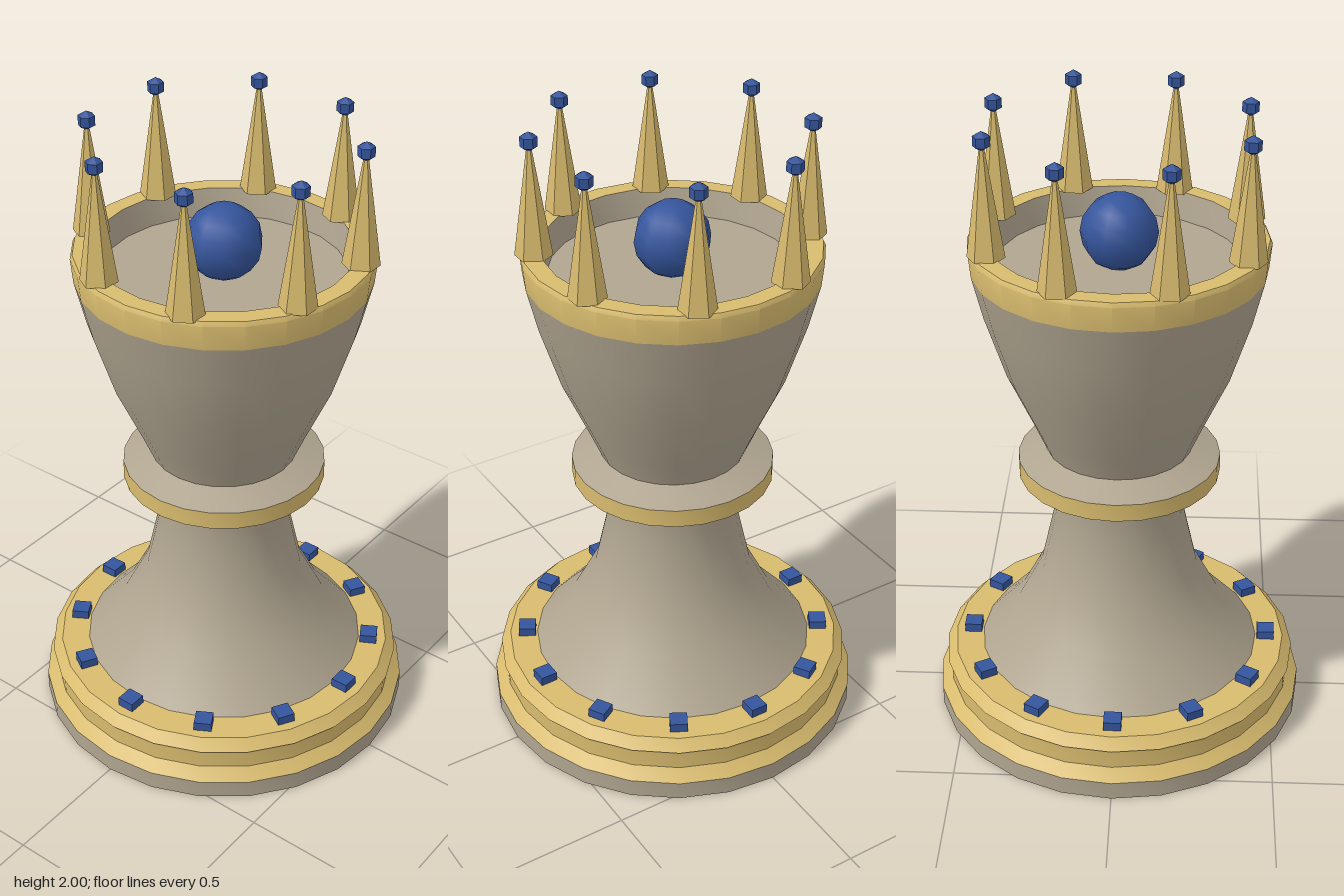
import * as THREE from 'three';
import { toCreasedNormals } from 'three/addons/utils/BufferGeometryUtils.js';

const SIDES = 24;

export function createModel() {
  const model = new THREE.Group();
  model.name = 'chessPiece';

  const material = (name, color, flatShading = false) => {
    const m = new THREE.MeshStandardMaterial({ color, flatShading });
    m.name = name;
    return m;
  };
  const stone = material('stone', 0xb0a590);
  const gold = material('gold', 0xd8bb6e);
  const blue = material('blueGem', 0x35559c);

  const add = (name, geometry, mat, x = 0, y = 0, z = 0, turn = 0, parent = model) => {
    const mesh = new THREE.Mesh(geometry, mat);
    mesh.name = name;
    mesh.position.set(x, y, z);
    mesh.rotation.y = turn;
    parent.add(mesh);
    return mesh;
  };

  // Turned part from [radius, height] points, listed with the outside on the right
  const turned = (name, mat, points) => {
    const profile = points.map(([r, y]) => new THREE.Vector2(r, y));
    return add(name, toCreasedNormals(new THREE.LatheGeometry(profile, SIDES), 0.6), mat);
  };

  // Base
  turned('foot', stone, [[0, 0], [0.595, 0], [0.595, 0.06]]);
  turned('baseBand', gold, [
    [0.595, 0.06], [0.56, 0.095], [0.56, 0.163], [0.571, 0.165], [0.54, 0.198], [0.44, 0.2],
  ]);

  // Stem and collar
  turned('stem', stone, [[0.452, 0.198], [0.33, 0.335], [0.25, 0.49], [0.203, 0.7], [0.217, 0.83]]);
  turned('collarBand', gold, [[0.21, 0.825], [0.295, 0.828], [0.315, 0.838], [0.315, 0.895]]);
  turned('collarTop', stone, [[0.315, 0.895], [0.22, 0.932]]);

  // Cup with a golden rim and a recessed floor
  turned('cup', stone, [
    [0.225, 0.925], [0.265, 1.02], [0.345, 1.2], [0.408, 1.4], [0.44, 1.535],
  ]);
  turned('rim', gold, [[0.44, 1.535], [0.447, 1.612], [0.44, 1.625], [0.385, 1.625]]);
  turned('cupInside', stone, [[0.385, 1.625], [0.368, 1.54], [0, 1.54]]);

  // Orb resting in the cup
  add('orb', new THREE.SphereGeometry(0.116, 10, 8), blue, 0, 1.641, 0, Math.PI / 2);

  // Crown of eight spikes tipped with beads
  const crown = new THREE.Group();
  crown.name = 'crown';
  model.add(crown);
  const spike = toCreasedNormals(new THREE.CylinderGeometry(0.008, 0.056, 0.325, 6), 0.3);
  const bead = toCreasedNormals(new THREE.SphereGeometry(0.029, 6, 3), 0.3);
  for (let i = 0; i < 8; i++) {
    const a = ((i + 0.5) / 8) * Math.PI * 2;
    const x = 0.404 * Math.sin(a);
    const z = 0.404 * Math.cos(a);
    add('spike', spike, gold, x, 1.7845, z, 0, crown);
    add('bead', bead, blue, x, 1.971, z, Math.PI / 2, crown);
  }

  // Ring of square gems on the base
  const gems = new THREE.Group();
  gems.name = 'baseGems';
  model.add(gems);
  const gem = new THREE.BoxGeometry(0.055, 0.03, 0.055);
  for (let i = 0; i < 12; i++) {
    const a = (i / 12) * Math.PI * 2;
    add('gem', gem, blue, 0.483 * Math.sin(a), 0.213, 0.483 * Math.cos(a), a, gems);
  }

  return model;
}
